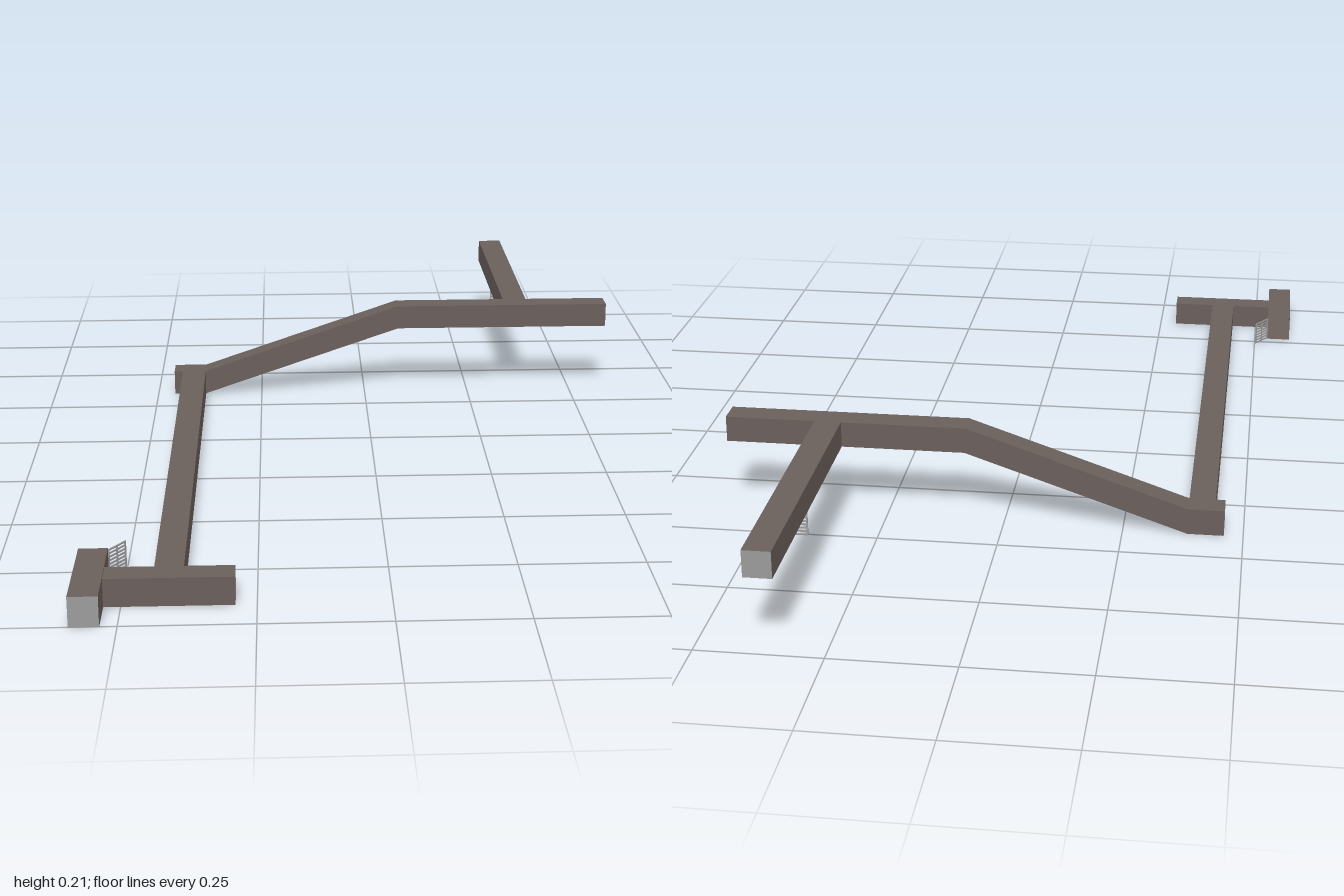
import * as THREE from 'three';

export function createModel() {
  const model = new THREE.Group();
  const steel = new THREE.MeshStandardMaterial({ color: 0x6a5f5b, side: THREE.DoubleSide });
  steel.name = 'brown duct wall';
  const grey = new THREE.MeshStandardMaterial({ color: 0x9b9b9b, side: THREE.DoubleSide });
  grey.name = 'grey end plate';

  // One box-section duct run. faces lists +x -x +y -y +z -z:
  // b = brown wall, g = grey end plate, . = open. rise lifts the +x end.
  function duct(name, [x0, x1], [y0, y1], [z0, z1], faces, rise = 0) {
    const geo = new THREE.BoxGeometry(x1 - x0, y1 - y0, z1 - z0);
    geo.translate((x0 + x1) / 2, (y0 + y1) / 2, (z0 + z1) / 2);
    const pos = geo.attributes.position;
    for (let i = 0; i < pos.count; i++) {
      pos.setY(i, pos.getY(i) + rise * (pos.getX(i) - x0) / (x1 - x0));
    }
    const all = Array.from(geo.index.array);
    const index = [];
    geo.clearGroups();
    [...faces].forEach((f, i) => {
      if (f === '.') return;
      geo.addGroup(index.length, 6, f === 'g' ? 1 : 0);
      index.push(...all.slice(i * 6, i * 6 + 6));
    });
    geo.setIndex(index);
    geo.computeVertexNormals();
    const mesh = new THREE.Mesh(geo, [steel, grey]);
    mesh.name = name;
    model.add(mesh);
  }

  const low = [0, 0.056], high = [0.158, 0.213];
  const crossZ = [-0.4, -0.345];

  // Lower level
  duct('outletDuct', [-0.588, -0.532], [0, 0.059], [0.775, 1], 'bbbbg.');
  duct('lowerCrossDuct', [-0.532, -0.29], low, [0.86, 0.915], 'g.bbbb');
  duct('longDuct', [-0.44, -0.385], low, [-0.345, 0.86], 'bbbb..');

  // Crossing duct: short level start, ramp, upper level
  duct('rampFoot', [-0.46, -0.385], low, crossZ, '.gbbbb');
  duct('ramp', [-0.385, 0.08], low, crossZ, '..bbbb', 0.1575);
  duct('upperCrossDuct', [0.08, 0.585], high, crossZ, 'g.bbbb');

  // Upper level branch
  duct('upperBranchDuct', [0.34, 0.396], high, [-1, -0.4], 'bbbb.g');

  // Thin slatted vent cover, hinged at its local origin
  function ventCover(name, x, y, z, turn) {
    const size = 0.054, bar = 0.0035, thick = 0.002, slats = 8, posts = 3;
    const cover = new THREE.Group();
    cover.name = name;
    const add = (part, w, h, px, py) => {
      const mesh = new THREE.Mesh(new THREE.BoxGeometry(w, h, thick), grey);
      mesh.name = part;
      mesh.position.set(px, py, 0);
      cover.add(mesh);
    };
    for (let i = 0; i < slats; i++) {
      add('slat', size, bar, size / 2, bar / 2 + (size - bar) * i / (slats - 1));
    }
    for (let i = 0; i < posts; i++) {
      add('post', bar, size, bar / 2 + (size - bar) * i / (posts - 1), size / 2);
    }
    cover.position.set(x, y, z);
    cover.rotation.y = turn;
    model.add(cover);
  }

  ventCover('hangingVentCover', 0.342, 0.104, -0.71, 0);
  ventCover('openVentCover', -0.532, 0.002, 0.775, 0.98);

  return model;
}
